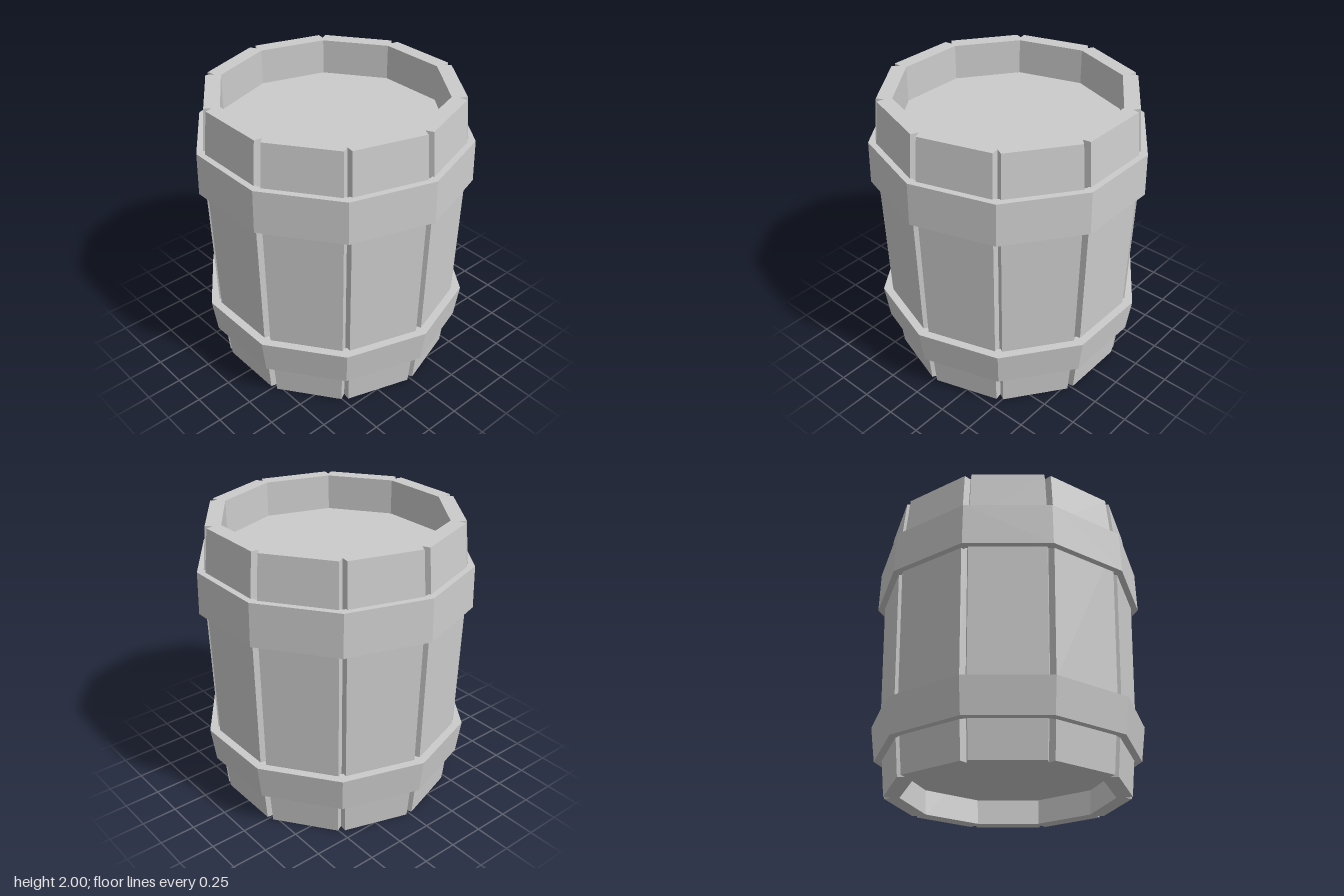
import * as THREE from 'three';

const SIDES = 10;
const STEP = (Math.PI * 2) / SIDES;
const material = new THREE.MeshStandardMaterial({ color: 0xcccccc, flatShading: true });

function addMesh(parent, geometry, name) {
  const mesh = new THREE.Mesh(geometry, material);
  mesh.name = name;
  parent.add(mesh);
  return mesh;
}

// Stave bulge: height, outer corner radius, inner corner radius
const LEVELS = [
  [0, 0.833, 0.72],
  [0.5, 0.882, 0.755],
  [1.6, 0.91, 0.765],
  [2, 0.873, 0.765],
];
const BEVEL = 0.025; // how far each long edge is cut back from the corner
const GROOVE = 0.055; // depth of the V between neighbouring staves

// Six-point stave section, centred on +z, counter-clockwise seen from above
function staveSection([y, outer, inner]) {
  const s = Math.sin(STEP / 2), c = Math.cos(STEP / 2);
  const tip = outer - GROOVE;
  const edge = outer * s - BEVEL;
  return [
    [-tip * s, tip * c], [-edge, outer * c], [edge, outer * c],
    [tip * s, tip * c], [inner * s, inner * c], [-inner * s, inner * c],
  ].map(([x, z]) => [x, y, z]);
}

function staveGeometry() {
  const rings = LEVELS.map(staveSection);
  const n = rings[0].length;
  const out = [];
  const tri = (a, b, c) => out.push(...a, ...b, ...c);
  // Walls between consecutive sections
  for (let k = 0; k < rings.length - 1; k++) {
    const a = rings[k], b = rings[k + 1];
    for (let i = 0; i < n; i++) {
      const j = (i + 1) % n;
      tri(a[i], a[j], b[j]);
      tri(a[i], b[j], b[i]);
    }
  }
  // End caps
  const bottom = rings[0], top = rings[rings.length - 1];
  for (let i = 1; i < n - 1; i++) {
    tri(top[0], top[i], top[i + 1]);
    tri(bottom[0], bottom[i + 1], bottom[i]);
  }
  const geometry = new THREE.BufferGeometry();
  geometry.setAttribute('position', new THREE.Float32BufferAttribute(out, 3));
  geometry.computeVertexNormals();
  return geometry;
}

// Ten-sided band with a slightly sloped outer face
function hoopGeometry(y0, r0, y1, r1, inner) {
  const profile = [[inner, y0], [r0, y0], [r1, y1], [inner, y1], [inner, y0]];
  return new THREE.LatheGeometry(profile.map(([r, y]) => new THREE.Vector2(r, y)), SIDES);
}

export function createModel() {
  const barrel = new THREE.Group();
  barrel.name = 'barrel';

  // Staves
  const staves = new THREE.Group();
  staves.name = 'staves';
  barrel.add(staves);
  const stave = staveGeometry();
  for (let i = 0; i < SIDES; i++) {
    addMesh(staves, stave, 'stave').rotation.y = (i + 0.5) * STEP;
  }

  // Hoops
  addMesh(barrel, hoopGeometry(0.25, 0.907, 0.495, 0.94, 0.85), 'lowerHoop');
  addMesh(barrel, hoopGeometry(1.41, 0.95, 1.705, 0.943, 0.885), 'upperHoop');

  // Recessed lid and base, seated inside the staves
  addMesh(barrel, new THREE.CylinderGeometry(0.78, 0.78, 0.06, SIDES), 'lid').position.y = 1.72;
  addMesh(barrel, new THREE.CylinderGeometry(0.75, 0.75, 0.06, SIDES), 'base').position.y = 0.21;

  return barrel;
}
